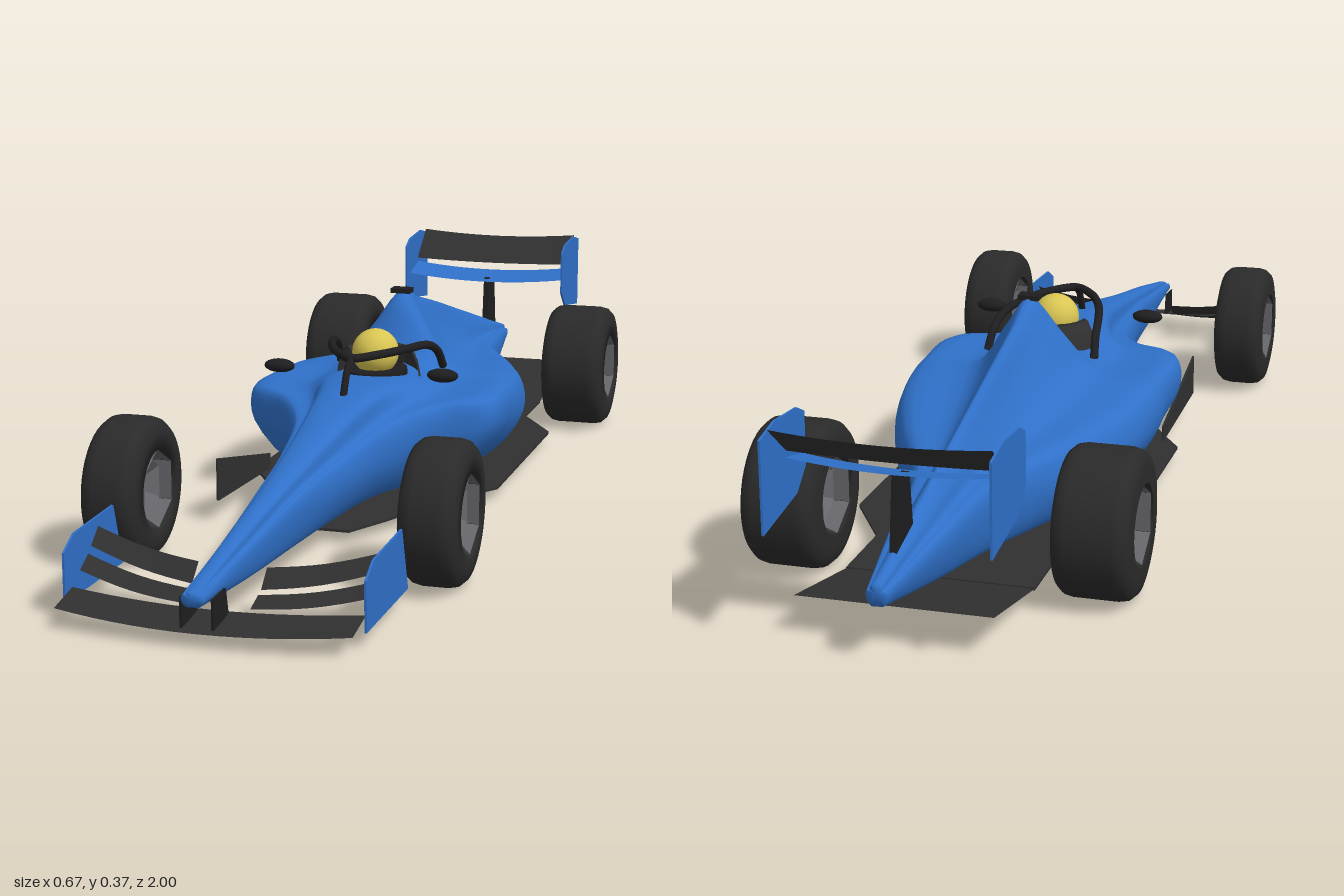
import * as THREE from 'three';

const mat = (name, color) => {
  const m = new THREE.MeshStandardMaterial({ color, side: THREE.DoubleSide });
  m.name = name;
  return m;
};
const V = (x, y, z) => new THREE.Vector3(x, y, z);
const lerp = THREE.MathUtils.lerp;

// z, bottom y, bottom half width, side x y, shoulder x y, spine x y, top y
const STATIONS = [
  [1.0, .068, .01, .019, .078, .016, .088, .008, .091, .092],
  [.8, .056, .018, .028, .085, .026, .112, .015, .128, .133],
  [.6, .05, .025, .043, .1, .04, .14, .022, .161, .168],
  [.4, .045, .035, .07, .11, .063, .16, .036, .197, .206],
  [.24, .04, .05, .098, .11, .095, .18, .052, .225, .233],
  [.14, .038, .085, .155, .13, .152, .194, .07, .23, .239],
  [.08, .037, .13, .235, .14, .228, .2, .08, .23, .24],
  [-.07, .037, .165, .243, .13, .235, .2, .08, .23, .243],
  [-.14, .037, .17, .243, .12, .232, .197, .05, .3, .359],
  [-.25, .037, .165, .23, .12, .21, .189, .036, .275, .333],
  [-.4, .037, .13, .178, .11, .158, .177, .03, .24, .296],
  [-.6, .043, .06, .082, .11, .074, .166, .024, .208, .243],
  [-.8, .065, .03, .05, .12, .045, .15, .018, .174, .19],
  [-1.0, .1, .01, .018, .115, .016, .125, .009, .134, .137],
];

// Smooth loft through the stations, hollowed between shoulder and spine
function bodyGeometry(rows = 78, cols = 56) {
  const rings = STATIONS.map(([z, yb, wb, ws, ys, wh, yh, wi, yi, yt]) => {
    const side = [[wb, yb], [ws, ys], [wh, yh], [lerp(wh, wi, .68), lerp(yh, yi, .2)], [wi, yi]];
    return [[0, yb], ...side, [0, yt], ...side.reverse().map(([x, y]) => [-x, y])]
      .map(([x, y]) => V(x, y, z));
  });
  const rails = rings[0].map((_, j) => new THREE.CatmullRomCurve3(rings.map(r => r[j])));
  const pos = [], idx = [];
  for (let i = 0; i <= rows; i++) {
    const ring = new THREE.CatmullRomCurve3(rails.map(c => c.getPoint(i / rows)), true);
    for (let j = 0; j < cols; j++) pos.push(...ring.getPoint(j / cols).toArray());
  }
  const front = (rows + 1) * cols, back = front + 1;
  pos.push(0, .08, 1, 0, .12, -1);
  for (let j = 0; j < cols; j++) {
    const k = (j + 1) % cols;
    for (let i = 0; i < rows; i++) {
      const a = i * cols + j, b = i * cols + k, c = a + cols, d = b + cols;
      idx.push(a, c, b, b, c, d);
    }
    idx.push(front, j, k, back, rows * cols + k, rows * cols + j);
  }
  const g = new THREE.BufferGeometry();
  g.setAttribute('position', new THREE.Float32BufferAttribute(pos, 3));
  g.setIndex(idx);
  g.computeVertexNormals();
  return g;
}

// Thin wing surface: edge(u) gives the leading and trailing points
function sheet(edge, n = 14) {
  const g = new THREE.PlaneGeometry(1, 1, n, 1), p = g.attributes.position;
  for (let i = 0; i < p.count; i++) {
    const [lead, trail] = edge(p.getX(i) + .5);
    p.setXYZ(i, ...(p.getY(i) > 0 ? trail : lead));
  }
  g.computeVertexNormals();
  return g;
}

const shapeOf = pts => new THREE.Shape(pts.map(([a, b]) => new THREE.Vector2(a, b)));
const extrude = (pts, depth) =>
  new THREE.ExtrudeGeometry(shapeOf(pts), { depth, bevelEnabled: false });
// Upright plate from (z, y) points, centred on x
const plate = (pts, x, t = .004) => extrude(pts, t).rotateY(-Math.PI / 2).translate(x + t / 2, 0, 0);

export function createModel() {
  const car = new THREE.Group();
  car.name = 'racingCar';
  const blue = mat('bodyBlue', 0x2f70c8), carbon = mat('carbonGrey', 0x303031);
  const black = mat('trimBlack', 0x1e1e20), rubber = mat('tyreRubber', 0x2a2a2a);
  const metal = mat('rimGrey', 0x66666c), yellow = mat('helmetYellow', 0xd9c653);
  const add = (name, geometry, material, parent = car) => {
    const m = new THREE.Mesh(geometry, material);
    m.name = name;
    parent.add(m);
    return m;
  };

  add('body', bodyGeometry(), blue);

  // Floor and rising diffuser
  const edge = [[.06, .4], [.105, .31], [.15, .2], [.2, .11], [.245, .04], [.245, -.42], [.165, -.55], [.165, -.7]];
  const outline = [...edge, ...edge.map(([x, z]) => [-x, z]).reverse()];
  add('floor', extrude(outline, .005).rotateX(Math.PI / 2).translate(0, .025, 0), carbon);
  add('diffuser', sheet(u => {
    const x = lerp(-.165, .165, u);
    return [[x, .023, -.7], [x, .07, -.93]];
  }, 1), carbon);

  // Cockpit, driver and head protection
  add('cockpitOpening', new THREE.CylinderGeometry(.06, .062, .03, 32).scale(1, 1, 1.15).translate(0, .2275, .035), black);
  const rest = [[.084, .215], [.078, .25], [.068, .274], [.06, .278], [.05, .262], [.048, .215]];
  add('headrest', new THREE.LatheGeometry(rest.map(p => new THREE.Vector2(...p)), 24, Math.PI / 2, Math.PI)
    .translate(0, 0, .02), carbon);
  add('helmet', new THREE.SphereGeometry(.045, 32, 20).translate(0, .273, .035), yellow);
  const arm = [[.105, .23, -.075], [.101, .263, -.05], [.094, .285, 0], [.073, .291, .08], [.042, .292, .145]];
  const hoop = [...arm, [0, .291, .19], ...arm.map(([x, y, z]) => [-x, y, z]).reverse()];
  add('haloHoop', new THREE.TubeGeometry(new THREE.CatmullRomCurve3(hoop.map(p => V(...p))), 60, .008, 10), black);
  add('haloPillar', new THREE.TubeGeometry(new THREE.CatmullRomCurve3(
    [V(0, .29, .19), V(0, .275, .215), V(0, .225, .243)]), 12, .007, 8), black);
  add('roofCamera', new THREE.BoxGeometry(.04, .009, .03).translate(0, .362, -.148), black);

  // Front wing
  add('frontWingMain', sheet(u => {
    const x = lerp(-.245, .245, u), c = 1 - (x / .245) ** 2;
    return [[x, .034 - .01 * c, .97 + .025 * c], [x, .047 - .01 * c, .9 + .015 * c]];
  }), carbon);

  // Rear wing
  add('rearWingMain', sheet(u => {
    const x = lerp(-.179, .179, u), c = 1 - (x / .179) ** 2;
    return [[x, .276 - .012 * c, -.84], [x, .293 - .012 * c, -.912]];
  }), blue);
  add('rearWingFlap', sheet(u => {
    const x = lerp(-.179, .179, u), c = 1 - (x / .179) ** 2;
    return [[x, .302 - .004 * c, -.905], [x, .36 - .009 * c, -.977]];
  }), carbon);
  add('rearWingPylon', plate([[-.84, .15], [-.855, .268], [-.905, .278], [-.925, .14]], 0, .012), black);

  // Hollow tyre with six-sided rim
  const wheel = (name, x, z, r, w) => {
    const g = new THREE.Group(), h = w / 2;
    g.name = name;
    const prof = [[.07, -h], [r - .03, -h], [r - .012, -h + .004], [r - .003, -h + .014], [r, -h + .028]];
    const ring = [...prof, ...prof.map(([a, b]) => [a, -b]).reverse(), [.07, -h]];
    const lathe = (pts, n, start = 0) =>
      new THREE.LatheGeometry(pts.map(p => new THREE.Vector2(...p)), n, start).rotateZ(-Math.PI / 2);
    add('tyre', lathe(ring, 40), rubber, g);
    const hex = pts => {
      const geo = lathe(pts, 6, Math.PI / 6).toNonIndexed();
      geo.computeVertexNormals();
      return geo;
    };
    add('rimBarrel', hex([[.07, -h * .96], [.07, h * .96]]), metal, g);
    for (const s of [-1, 1])
      add('hubDish', hex([[0, s * .012], [.027, s * .012], [.056, s * h * .6]]), metal, g);
    g.position.set(x, r, z);
    car.add(g);
  };

  // Mirrored parts
  for (const s of [1, -1]) {
    const side = s > 0 ? 'left' : 'right';
    wheel(side + 'FrontWheel', s * .278, .575, .125, .1);
    wheel(side + 'RearWheel', s * .267, -.637, .128, .132);
    add(side + 'Mirror', new THREE.SphereGeometry(1, 20, 12).scale(.03, .013, .017).translate(s * .16, .257, .135), black);
    add(side + 'BargeBoard', plate([[.335, .04], [.335, .12], [.05, .06], [.05, .03]], s * .213), carbon);
    add(side + 'FrontEndPlate', plate([[.92, .025], [.92, .108], [.88, .13], [.725, .135], [.69, .025]], s * .25), blue);
    add(side + 'RearEndPlate', plate([[-.82, .25], [-.82, .34], [-.85, .355], [-.94, .362], [-1, .35],
      [-1, .195], [-.86, .215]], s * .183), blue);
    add(side + 'NosePylon', plate([[.985, .028], [.985, .078], [.93, .08], [.92, .035]], s * .026), black);
    // Flap element from inner to outer [y, z] edges, sagging in the middle
    const flap = (name, inLead, inTrail, outLead, outTrail) => add(side + name, sheet(u => {
      const sag = .007 * Math.sin(u * Math.PI);
      const at = (a, b) => [s * lerp(.058, .247, u), lerp(a[0], b[0], u) - sag, lerp(a[1], b[1], u)];
      return [at(inLead, outLead), at(inTrail, outTrail)];
    }, 8), carbon);
    flap('LowerFlap', [.04, .905], [.052, .868], [.064, .865], [.082, .832]);
    flap('UpperFlap', [.056, .855], [.084, .825], [.092, .82], [.117, .79]);
  }
  return car;
}
